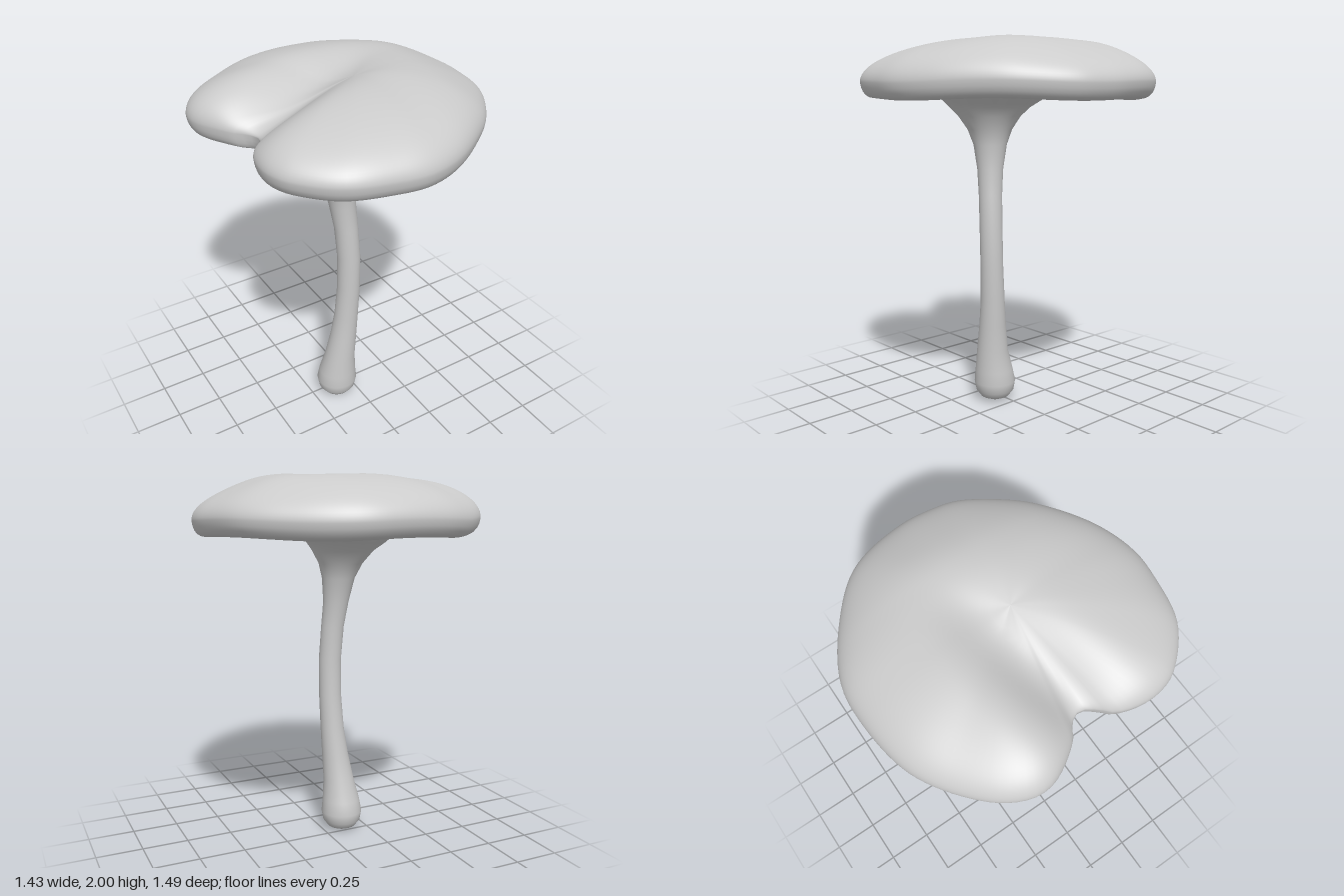
import * as THREE from 'three';

const SEG = 120;
const TAU = Math.PI * 2;
const smooth = THREE.MathUtils.smoothstep;

// Kidney-shaped cap outline seen from above: x, z
const outline = [
  [0.71, -0.1], [0.63, -0.39], [0.43, -0.59], [0.2, -0.72], [0.02, -0.745], [-0.33, -0.69],
  [-0.62, -0.48], [-0.705, -0.34], [-0.715, -0.25], [-0.69, -0.17], [-0.6, -0.04], [-0.54, 0.0],
  [-0.51, 0.06], [-0.55, 0.13], [-0.6, 0.18], [-0.63, 0.25], [-0.645, 0.35], [-0.635, 0.43],
  [-0.6, 0.51], [-0.43, 0.67], [-0.2, 0.73], [-0.03, 0.74], [0.17, 0.68], [0.4, 0.53],
  [0.52, 0.42], [0.67, 0.21], [0.705, 0.07],
].map(([x, z]) => new THREE.Vector3(x, 0, z));
const edge = new THREE.CatmullRomCurve3(outline, true).getSpacedPoints(SEG).slice(0, SEG);
const centre = new THREE.Vector3(0, 0, 0.05);

// Skins a stack of closed rings of equal point count with smooth normals
function loft(rings) {
  const n = rings[0].length, index = [];
  for (let i = 0; i < rings.length - 1; i++) {
    for (let j = 0; j < n; j++) {
      const k = (j + 1) % n, a = i * n, b = a + n;
      index.push(a + j, a + k, b + j, a + k, b + k, b + j);
    }
  }
  const geo = new THREE.BufferGeometry().setFromPoints(rings.flat());
  geo.setIndex(index);
  geo.computeVertexNormals();
  return geo;
}

// Circular ring whose points share their bearings with the outline points
function circle([x, y, z, r]) {
  return edge.map((p) => {
    const a = Math.atan2(p.z - centre.z, p.x - centre.x);
    return new THREE.Vector3(x + r * Math.cos(a), y, z + r * Math.sin(a));
  });
}

// Waviness of the rim, lifted at the tips of the lobes
const wave = (j) => 0.006 * Math.sin(5 * j / SEG * TAU) + 0.014 * smooth(-edge[j].x, 0.45, 0.7);

function lipRing(s, y) {
  return edge.map((p, j) => centre.clone().lerp(p, s).setY(y + wave(j)));
}

function createStemAndGills() {
  // Centre x, height, centre z, radius: bulbous foot, slim bent shaft, flared top
  const rings = [
    [-0.108, 0.0, 0.045, 0], [-0.108, 0.004, 0.045, 0.035], [-0.108, 0.025, 0.045, 0.08],
    [-0.108, 0.06, 0.045, 0.106], [-0.108, 0.11, 0.046, 0.115], [-0.107, 0.18, 0.052, 0.105],
    [-0.1, 0.3, 0.07, 0.086], [-0.083, 0.45, 0.082, 0.074], [-0.07, 0.6, 0.092, 0.066],
    [-0.062, 0.8, 0.104, 0.062], [-0.063, 1.0, 0.107, 0.062], [-0.075, 1.18, 0.1, 0.063],
    [-0.09, 1.32, 0.088, 0.07], [-0.1, 1.45, 0.079, 0.09], [-0.11, 1.53, 0.072, 0.12],
    [-0.12, 1.6, 0.065, 0.168],
  ].map(circle);

  // Gilled underside, easing from the round flare out to the lip: blend, height
  const flare = circle([-0.132, 1.645, 0.052, 0.215]);
  const gills = [[0, 1.645], [0.05, 1.664], [0.12, 1.685], [0.22, 1.707], [0.34, 1.722], [0.47, 1.731],
    [0.6, 1.73], [0.7, 1.721], [0.78, 1.708], [0.83, 1.699]];
  for (const [t, y] of gills) {
    const fold = 0.004 * smooth(t, 0, 0.2) * (1 - smooth(t, 0.5, 0.8));
    const hollow = 0.045 * smooth(t, 0, 0.35) * (1 - smooth(t, 0.5, 0.86));
    rings.push(flare.map((p, j) => {
      const q = p.clone().lerp(edge[j], t);
      const ripple = Math.sin(17 * j / SEG * TAU) + 0.7 * Math.sin(27 * j / SEG * TAU);
      // The hollow is shallow beside the notch and deep under the broad cap
      const depth = hollow * smooth(edge[j].distanceTo(centre), 0.52, 0.68);
      return q.setY(y + t * wave(j) + fold * ripple + depth);
    }));
  }
  rings.push(lipRing(0.915, 1.69));
  return loft(rings);
}

function createCap() {
  // Rolled lip
  const lip = [[0.915, 1.69], [0.94, 1.694], [0.963, 1.704], [0.982, 1.722], [0.994, 1.744]];
  const rings = lip.map(([s, y]) => lipRing(s, y));

  // Domed top with a crease running in from the notch between two lobes
  const STEPS = 28;
  for (let i = 0; i <= STEPS; i++) {
    const t = i / STEPS * Math.PI / 2, s = Math.cos(t);
    const dome = Math.sqrt(1 - Math.pow(s, 2.2));
    rings.push(edge.map((p, j) => {
      const q = centre.clone().lerp(p, s);
      const off = (q.z + 0.07 + 0.22 * q.x) / 0.165;
      const crease = 0.68 * (1 - smooth(q.x, -0.6, 0.45)) * Math.exp(-off * off);
      const height = 0.236
        * (1 + 0.04 * smooth(q.x, 0, 0.25) - 0.14 * smooth(q.x, 0.3, 0.65))
        * (1 + 0.06 * smooth(-q.z, 0.1, 0.35))
        * (1 - 0.1 * smooth(-q.x, 0, 0.5) * smooth(q.z, -0.1, 0.15));
      return q.setY(1.77 + s * wave(j) + dome * (1 - crease) * height);
    }));
  }
  return loft(rings);
}

export function createModel() {
  const group = new THREE.Group();
  group.name = 'mushroom';
  const material = new THREE.MeshStandardMaterial({ color: 0xcccccc, side: THREE.DoubleSide });
  for (const [name, geometry] of [['cap', createCap()], ['stemAndGills', createStemAndGills()]]) {
    const mesh = new THREE.Mesh(geometry, material);
    mesh.name = name;
    group.add(mesh);
  }
  return group;
}
